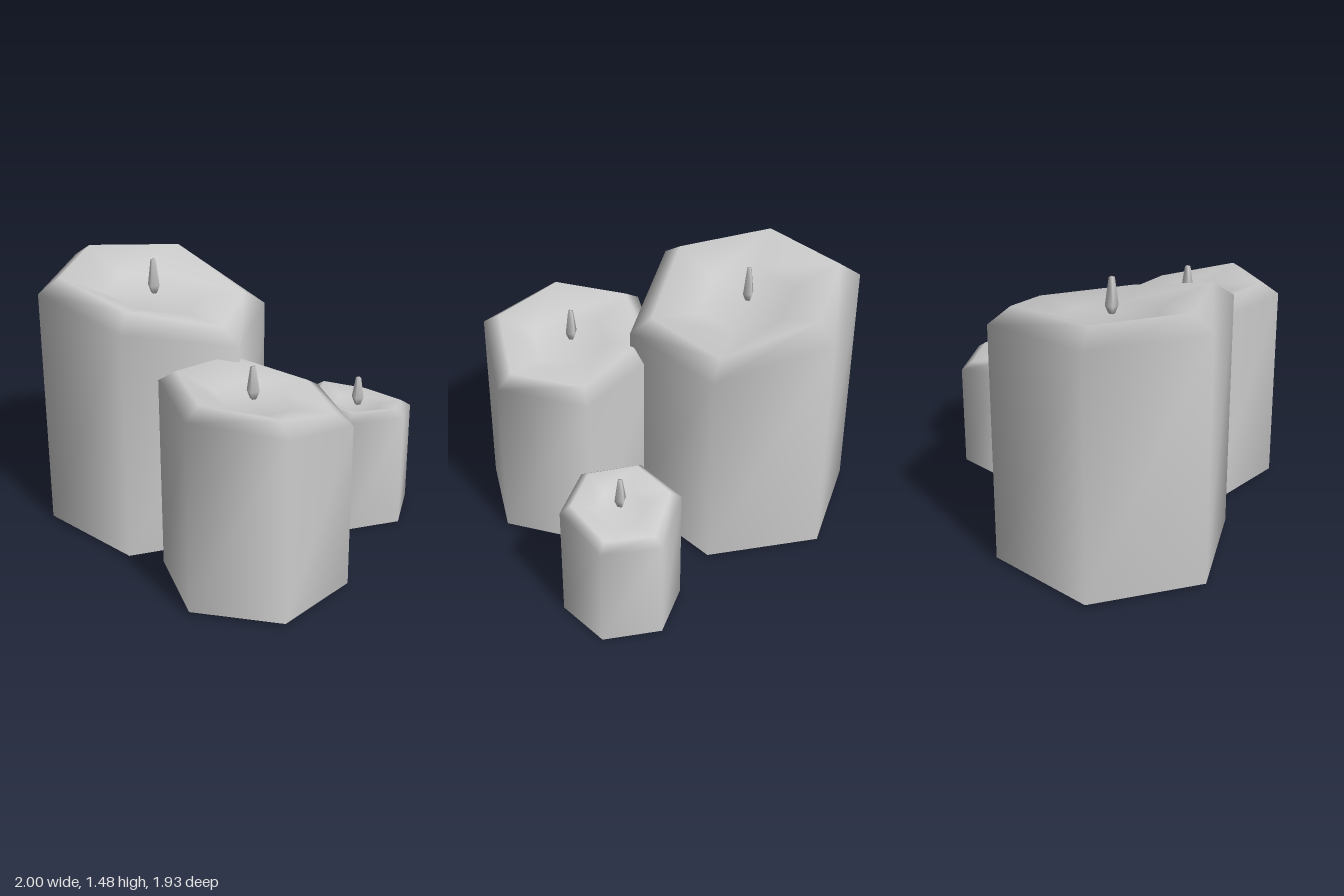
import * as THREE from 'three';

const wax = new THREE.MeshStandardMaterial({ color: 0xcccccc, side: THREE.DoubleSide });
wax.name = 'pale grey';

// Each candle is hexagonal; rim heights run clockwise seen from above, starting at angle "turn"
const candles = [
  { name: 'tallCandle', x: -0.377, z: -0.425, r: 0.622, turn: 0.008, base: 0.02, drop: 0.08,
    rim: [1.24, 1.24, 1.39, 1.44, 1.44, 1.39], pool: 1.29, wick: [-0.375, -0.435], tip: 1.48 },
  { name: 'middleCandle', x: -0.102, z: 0.467, r: 0.495, turn: Math.PI / 6, base: 0.02, drop: 0.06,
    rim: [1.0, 1.11, 1.15, 1.15, 1.1, 1.0], pool: 1.035, wick: [-0.11, 0.46], tip: 1.21 },
  { name: 'smallCandle', x: 0.686, z: -0.078, r: 0.311, turn: 0.015, base: 0, drop: 0.04,
    rim: [0.62, 0.69, 0.7, 0.71, 0.69, 0.61], pool: 0.635, wick: [0.675, -0.07], tip: 0.8 },
];

// Open-bottomed body: wall, sloping shoulder, rim and a shallow melted pool
function candleBody({ x, z, r, turn, base, drop, rim, pool }) {
  const n = rim.length;
  const mean = rim.reduce((a, b) => a + b, 0) / n;
  const rings = [
    [r, () => base],
    [r, (h) => h - drop],
    [r * 0.815, (h) => h],
    [r * 0.42, (h) => pool + 0.4 * (h - mean)],
  ];
  const pos = [];
  const index = [];
  for (const [radius, height] of rings) {
    for (let i = 0; i < n; i++) {
      const a = turn + (i / n) * Math.PI * 2;
      pos.push(x + radius * Math.cos(a), height(rim[i]), z + radius * Math.sin(a));
    }
  }
  pos.push(x, pool, z);
  const centre = rings.length * n;
  for (let k = 0; k < rings.length; k++) {
    for (let i = 0; i < n; i++) {
      const a = k * n + i;
      const b = k * n + ((i + 1) % n);
      if (k === rings.length - 1) index.push(a, centre, b);
      else index.push(a, a + n, b, a + n, b + n, b);
    }
  }
  const geo = new THREE.BufferGeometry();
  geo.setAttribute('position', new THREE.Float32BufferAttribute(pos, 3));
  geo.setIndex(index);
  geo.computeVertexNormals();
  return geo;
}

// Four-sided wick, widest just above the wax and tapering to a blunt tip
function wickGeometry(height) {
  const profile = [[0, 0], [0.016, 0], [0.034, 0.045], [0.015, height], [0, height]];
  return new THREE.LatheGeometry(profile.map(([px, py]) => new THREE.Vector2(px, py)), 4);
}

export function createModel() {
  const model = new THREE.Group();
  model.name = 'candles';
  for (const c of candles) {
    const candle = new THREE.Group();
    candle.name = c.name;

    const body = new THREE.Mesh(candleBody(c), wax);
    body.name = 'waxBody';

    const wick = new THREE.Mesh(wickGeometry(c.tip - c.pool), wax);
    wick.name = 'wick';
    wick.position.set(c.wick[0], c.pool, c.wick[1]);
    wick.rotation.y = Math.PI / 4 + 0.12;

    candle.add(body, wick);
    model.add(candle);
  }
  return model;
}
